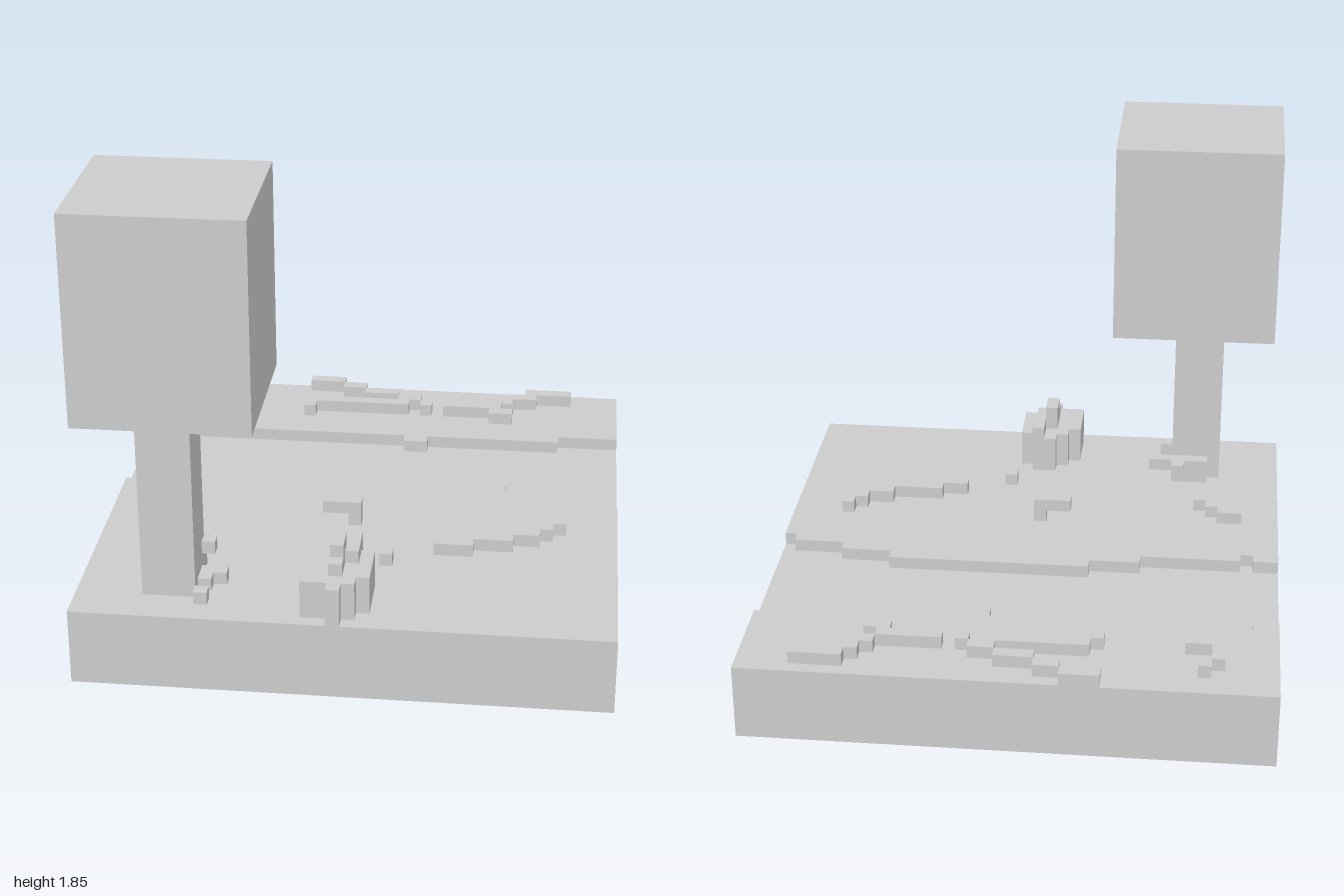
import * as THREE from 'three';

const material = new THREE.MeshStandardMaterial({ color: 0xcccccc, flatShading: true });
const GROUND = 0.3, UNIT = 0.05;

// Box given by its min and max on each axis
function block(parent, name, x0, x1, y0, y1, z0, z1) {
  const mesh = new THREE.Mesh(new THREE.BoxGeometry(x1 - x0, y1 - y0, z1 - z0), material);
  mesh.position.set((x0 + x1) / 2, (y0 + y1) / 2, (z0 + z1) / 2);
  mesh.name = name;
  parent.add(mesh);
}

function group(parent, name) {
  const g = new THREE.Group();
  g.name = name;
  parent.add(g);
  return g;
}

// Rows of cells, one unit deep: [z, x0, x1]
function rows(parent, name, list, y0 = GROUND, y1 = GROUND + UNIT) {
  const g = group(parent, name);
  for (const [z, x0, x1] of list) block(g, name + 'Row', x0, x1, y0, y1, z, z + UNIT);
}

// Raised bank between a stepped river edge [x end, z] and the outer edge of the slab
function bank(parent, name, outerZ, steps) {
  const shape = new THREE.Shape();
  shape.moveTo(-1, -outerZ);
  let x = -1;
  for (const [xEnd, z] of steps) {
    shape.lineTo(x, -z);
    shape.lineTo(xEnd, -z);
    x = xEnd;
  }
  shape.lineTo(1, -outerZ);
  const geo = new THREE.ExtrudeGeometry(shape, { depth: UNIT, bevelEnabled: false });
  geo.rotateX(-Math.PI / 2);
  const mesh = new THREE.Mesh(geo, material);
  mesh.position.y = GROUND - UNIT;
  mesh.name = name;
  parent.add(mesh);
}

export function createModel() {
  const model = new THREE.Group();
  model.name = 'voxelLandscape';

  // Slab with a sunken river
  block(model, 'slab', -1, 1, 0, GROUND - UNIT, -1, 1);
  bank(model, 'backBank', -1, [[-0.9, -0.5], [0.1, -0.55], [0.2, -0.5], [0.75, -0.55], [1, -0.6]]);
  bank(model, 'frontBank', 1, [[-0.9, -0.05], [-0.85, 0], [-0.45, -0.05], [-0.25, -0.1],
    [0.55, -0.15], [0.75, -0.1], [0.95, -0.05], [1, 0]]);

  // Tree
  const tree = group(model, 'tree');
  block(tree, 'trunk', -0.75, -0.55, GROUND, 1, 0.65, 0.85);
  block(tree, 'trunkTop', -0.75, -0.6, 1, 1.05, 0.65, 0.8);
  block(tree, 'crown', -0.95, -0.3, 1.05, 1.85, 0.4, 1);

  // Roots around the trunk
  const roots = group(tree, 'roots');
  block(roots, 'root', -0.7, -0.55, GROUND, 0.4, 0.6, 0.65);
  block(roots, 'root', -0.6, -0.55, 0.35, 0.4, 0.55, 0.6);
  block(roots, 'root', -0.55, -0.5, 0.4, 0.45, 0.65, 0.7);
  block(roots, 'root', -0.55, -0.45, GROUND, 0.35, 0.7, 0.75);
  block(roots, 'root', -0.55, -0.5, GROUND, 0.35, 0.75, 0.8);
  block(roots, 'root', -0.55, -0.5, GROUND, 0.35, 0.85, 0.9);

  // Bush with stepped outline and raised tips
  const bush = group(model, 'bush');
  rows(bush, 'bushBody', [
    [0.65, -0.05, 0.05], [0.7, -0.1, 0.1], [0.75, -0.15, 0.1], [0.8, -0.15, 0.1],
    [0.85, -0.15, 0.1], [0.9, -0.15, 0.05], [0.95, -0.05, 0],
  ], GROUND, 0.45);
  block(bush, 'bushTip', 0, 0.05, 0.45, 0.5, 0.65, 0.8);
  block(bush, 'bushTip', -0.05, 0, 0.45, 0.5, 0.75, 0.9);
  block(bush, 'bushTip', -0.05, 0, 0.5, 0.55, 0.75, 0.85);

  // Low ridges behind the river
  rows(model, 'hookRidge', [[-0.9, -0.75, -0.7], [-0.85, -0.8, -0.75], [-0.8, -0.8, -0.75], [-0.75, -0.8, -0.65]]);
  rows(model, 'middleRidge', [[-1, -0.35, -0.2], [-0.95, -0.2, -0.1], [-0.9, -0.1, 0.05],
    [-0.85, 0.05, 0.15], [-0.8, 0.15, 0.2], [-0.8, -0.3, 0.1], [-0.75, -0.35, -0.3]]);
  rows(model, 'sideRidge', [[-0.95, 0.6, 0.8], [-0.9, 0.55, 0.65], [-0.85, 0.5, 0.55],
    [-0.8, 0.25, 0.5], [-0.75, 0.45, 0.55]]);

  // Low ridges in front of the river
  rows(model, 'frontRidge', [[0.2, 0.75, 0.8], [0.25, 0.7, 0.75], [0.3, 0.6, 0.7], [0.35, 0.4, 0.6], [0.4, 0.3, 0.45]]);
  rows(model, 'cornerRidge', [[0.25, -0.85, -0.75], [0.3, -0.85, -0.7], [0.35, -0.7, -0.65]]);
  block(model, 'stone', 0.1, 0.15, GROUND, 0.35, 0.5, 0.55);

  // Overhanging branch on one leg
  const branch = group(model, 'branch');
  block(branch, 'branchBar', -0.15, 0, 0.35, 0.4, 0.2, 0.25);
  block(branch, 'branchLeg', -0.05, 0, GROUND, 0.35, 0.2, 0.25);

  return model;
}
